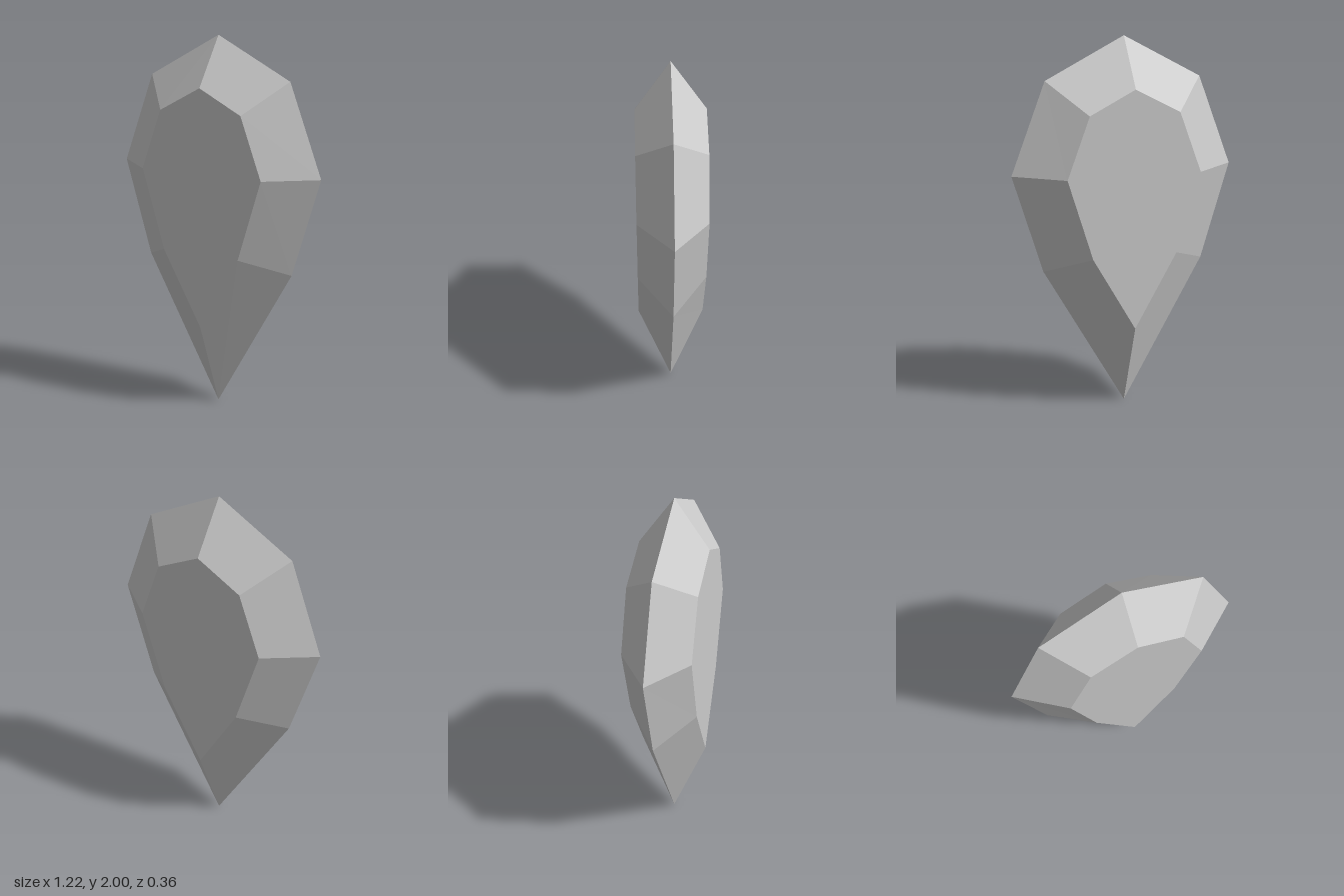
import * as THREE from 'three';

// Half outlines from top to bottom tip: [x, y]
const GIRDLE = [[0, 2], [0.426, 1.78], [0.61, 1.3], [0.45, 0.78], [0, 0]];
const TABLE = [[0, 1.74], [0.245, 1.615], [0.365, 1.295], [0.232, 0.87], [0, 0.47]];
const HALF_DEPTH = 0.18;

// Mirror a half outline into a closed counter-clockwise loop at depth z
function loop(half, z) {
  const left = half.map(([x, y]) => new THREE.Vector3(-x, y, z));
  const right = half.slice(1, -1).reverse().map(([x, y]) => new THREE.Vector3(x, y, z));
  return [...left, ...right];
}

function facetGeometry(triangles) {
  const geometry = new THREE.BufferGeometry().setFromPoints(triangles);
  geometry.computeVertexNormals();
  return geometry;
}

export function createModel() {
  const model = new THREE.Group();
  model.name = 'teardropGem';
  const material = new THREE.MeshStandardMaterial({ color: 0xcccccc, flatShading: true });

  const outer = loop(GIRDLE, 0);
  const inner = loop(TABLE, HALF_DEPTH);
  const centre = new THREE.Vector3(0, 1.2, HALF_DEPTH);
  const bevel = [];
  const table = [];
  outer.forEach((a, i) => {
    const j = (i + 1) % outer.length;
    bevel.push(a, outer[j], inner[j], a, inner[j], inner[i]);
    table.push(centre, inner[i], inner[j]);
  });
  const bevelGeometry = facetGeometry(bevel);
  const tableGeometry = facetGeometry(table);

  // Identical front and back halves meet at the sharp girdle
  for (const side of ['front', 'back']) {
    const half = new THREE.Group();
    half.name = side + 'Half';
    const bevelMesh = new THREE.Mesh(bevelGeometry, material);
    bevelMesh.name = side + 'BevelFacets';
    const tableMesh = new THREE.Mesh(tableGeometry, material);
    tableMesh.name = side + 'TableFacet';
    half.add(bevelMesh, tableMesh);
    if (side === 'back') half.rotation.y = Math.PI;
    model.add(half);
  }
  return model;
}
